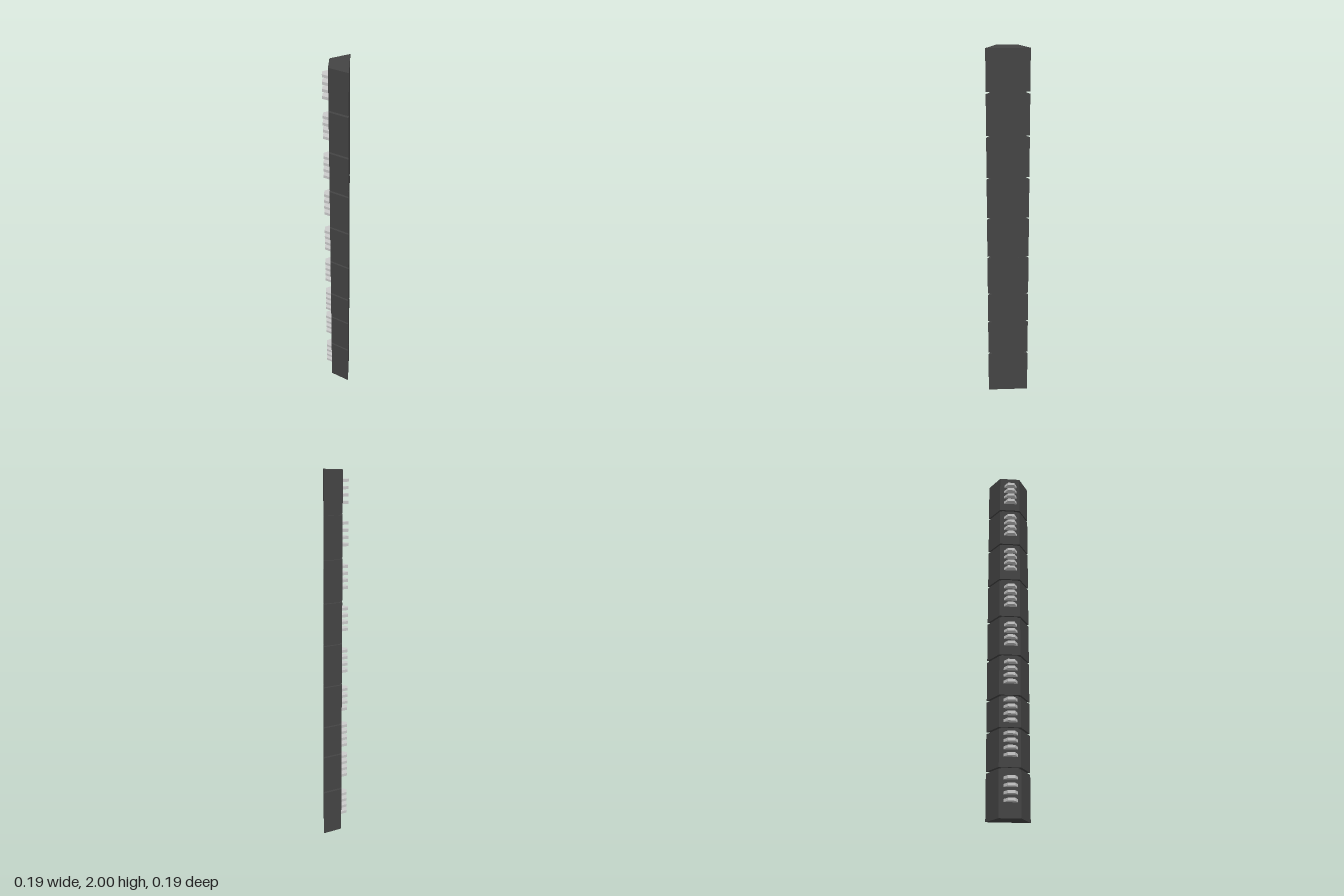
import * as THREE from 'three';

const dark = new THREE.MeshStandardMaterial({ color: 0x444444, flatShading: true });
const grey = new THREE.MeshStandardMaterial({ color: 0xcccccc, flatShading: true });

// Plan outlines as [x, z]
const bodyPlan = [[-0.067, -0.096], [0.094, 0.064], [-0.017, 0.094], [-0.096, 0.014]];
const corePlan = [[-0.053, -0.082], [0.08, 0.05], [-0.018, 0.078], [-0.08, 0.015]];
const finPlan = [[-0.077, 0.021], [-0.017, 0.079], [-0.063, 0.093], [-0.088, 0.067]];

// Upright prism between two heights
function prism(name, plan, y0, y1, material) {
  const shape = new THREE.Shape(plan.map(([x, z]) => new THREE.Vector2(x, -z)));
  const geometry = new THREE.ExtrudeGeometry(shape, { depth: y1 - y0, bevelEnabled: false });
  geometry.rotateX(-Math.PI / 2);
  geometry.translate(0, y0, 0);
  const mesh = new THREE.Mesh(geometry, material);
  mesh.name = name;
  return mesh;
}

export function createModel() {
  const model = new THREE.Group();
  model.name = 'segmentedColumn';

  const joints = [0.249, 0.458, 0.633, 0.861, 1.09, 1.319, 1.547, 1.775];
  const topFins = [0.199, 0.428, 0.609, 0.821, 1.039, 1.272, 1.5, 1.727, 1.945];
  const halfGap = 0.005, finStep = 0.0375, finThickness = 0.015;

  topFins.forEach((finTop, i) => {
    const segment = new THREE.Group();
    segment.name = `segment${i + 1}`;

    // Column block
    const y0 = i === 0 ? 0 : joints[i - 1] + halfGap;
    const y1 = i === joints.length ? 2 : joints[i] - halfGap;
    segment.add(prism('block', bodyPlan, y0, y1, dark));

    // Recessed joint above the block, flush with the back
    if (i < joints.length) segment.add(prism('jointCore', corePlan, y1, y1 + 2 * halfGap, dark));

    // Four fins on the narrow face
    for (let k = 0; k < 4; k++) {
      const y = finTop - k * finStep;
      segment.add(prism('fin', finPlan, y - finThickness / 2, y + finThickness / 2, grey));
    }
    model.add(segment);
  });
  return model;
}
